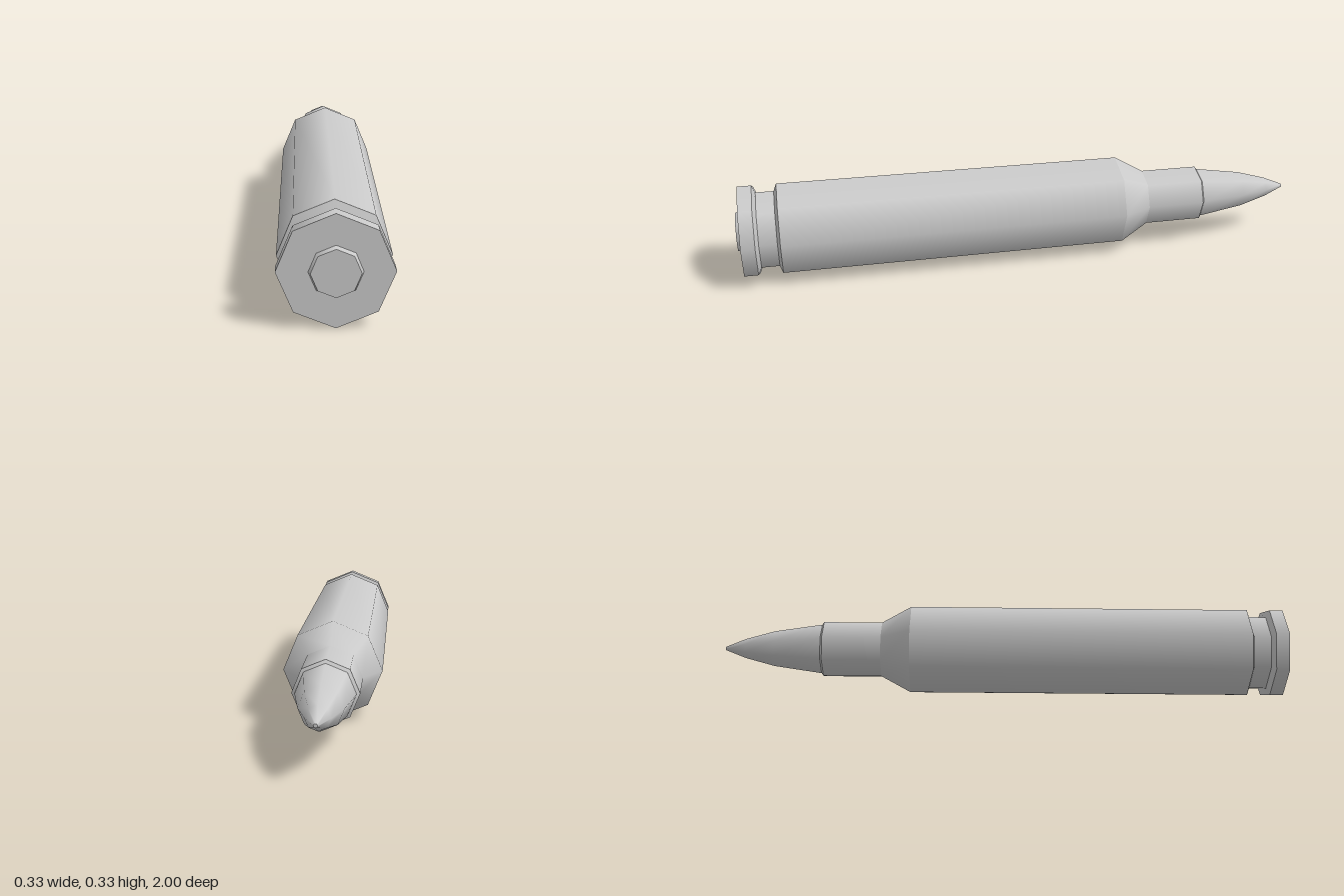
import * as THREE from 'three';
import { mergeGeometries } from 'three/addons/utils/BufferGeometryUtils.js';

const SIDES = 8;
const AXIS_HEIGHT = 0.164;

// Turn [radius, z] points (running from tip to base) around the z axis.
function turn(points) {
  const profile = points.map(([r, z]) => new THREE.Vector2(r, z));
  return new THREE.LatheGeometry(profile, SIDES).rotateX(Math.PI / 2);
}

// Same, but with a hard edge at every profile point.
function turnHard(points) {
  const bands = [];
  for (let i = 1; i < points.length; i++) bands.push(turn([points[i - 1], points[i]]));
  return mergeGeometries(bands);
}

export function createModel() {
  const group = new THREE.Group();
  group.name = 'cartridge';
  const material = new THREE.MeshStandardMaterial({ color: 0xcccccc });

  function add(name, geometry) {
    const mesh = new THREE.Mesh(geometry, material);
    mesh.name = name;
    mesh.position.y = AXIS_HEIGHT;
    group.add(mesh);
  }

  // Curved pointed bullet with a tiny blunt tip
  add('bulletTip', turnHard([[0, -1], [0.006, -1]]));
  add('bullet', turn([[0.006, -1], [0.037, -0.925], [0.067, -0.82], [0.092, -0.66], [0.093, -0.64]]));

  // Neck with a small chamfered mouth
  add('neck', turnHard([[0.09, -0.654], [0.103, -0.645], [0.103, -0.44]]));

  // Sloping shoulder, then the straight body
  add('shoulder', turnHard([[0.103, -0.44], [0.163, -0.335]]));
  add('body', turnHard([[0.163, -0.335], [0.163, 0.857], [0.137, 0.867]]));

  // Extractor groove and rim with its flat base
  add('groove', turnHard([[0.137, 0.867], [0.137, 0.927]]));
  add('rim', turnHard([[0.137, 0.927], [0.163, 0.938], [0.163, 0.985], [0, 0.985]]));

  // Slightly tapered primer standing out of the base
  add('primer', turnHard([[0.075, 0.985], [0.069, 1], [0, 1]]));

  return group;
}
